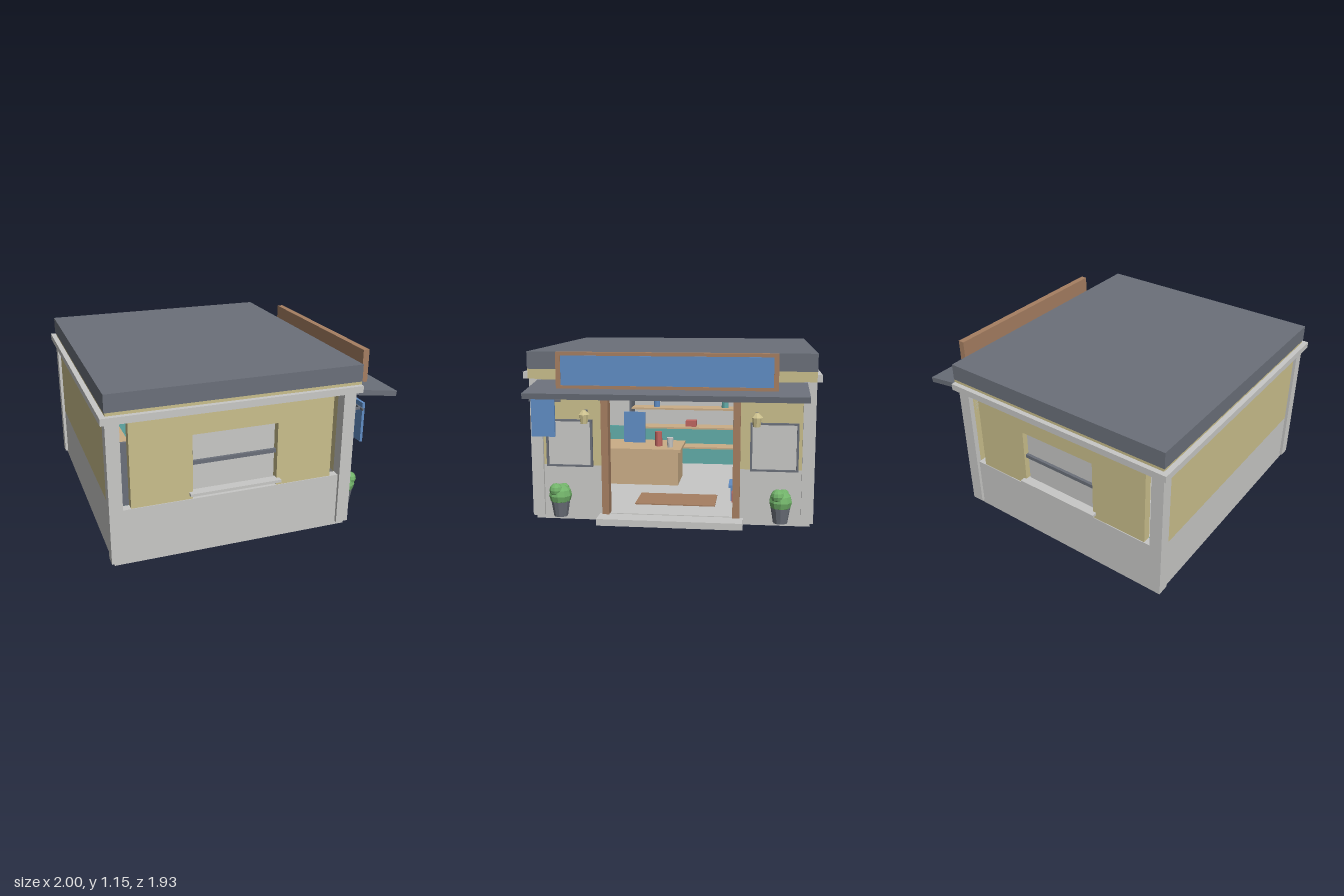
import * as THREE from 'three';

const COLORS = {
  stone: 0xc8c8c6, plaster: 0xcabf8c, slate: 0x6b707a, brownWood: 0xa67f62, paleWood: 0xcbae87,
  blue: 0x608dc5, teal: 0x62aca8, leaf: 0x72b36a, red: 0xbf6560,
};

export function createModel() {
  const model = new THREE.Group();
  model.name = 'shop';
  const mats = {};
  for (const [name, color] of Object.entries(COLORS)) {
    mats[name] = new THREE.MeshStandardMaterial({ color });
    mats[name].name = name;
  }

  const add = (name, geo, mat, parent = model) => {
    const mesh = new THREE.Mesh(geo, mats[mat]);
    mesh.name = name;
    parent.add(mesh);
    return mesh;
  };
  // Box given by its min and max on each axis
  const box = (name, mat, x0, x1, y0, y1, z0, z1, parent = model) => {
    const m = add(name, new THREE.BoxGeometry(x1 - x0, y1 - y0, z1 - z0), mat, parent);
    m.position.set((x0 + x1) / 2, (y0 + y1) / 2, (z0 + z1) / 2);
    return m;
  };
  // Same box on +z and -z
  const pair = (name, mat, x0, x1, y0, y1, z0, z1) => {
    box(name, mat, x0, x1, y0, y1, z0, z1);
    box(name, mat, x0, x1, y0, y1, -z1, -z0);
  };
  const faceted = (geo) => {
    const g = geo.toNonIndexed();
    g.computeVertexNormals();
    return g;
  };
  const cyl = (name, mat, rTop, rBottom, y0, y1, x, z, parent = model, sides = 12) => {
    const m = add(name, faceted(new THREE.CylinderGeometry(rTop, rBottom, y1 - y0, sides)), mat, parent);
    m.position.set(x, (y0 + y1) / 2, z);
    return m;
  };

  // Floor and door step
  box('floor', 'stone', -0.95, 0.64, 0, 0.05, -0.915, 0.915);
  box('doorStep', 'stone', 0.62, 0.77, 0, 0.045, -0.48, 0.48);

  // Corner pillars
  for (const x of [-0.97, 0.575]) pair('pillar', 'stone', x, x + 0.085, 0.025, 0.96, 0.855, 0.935);

  // Back wall
  box('backWallBase', 'stone', -0.95, -0.89, 0.05, 0.375, -0.9, 0.9);
  box('backWallUpper', 'plaster', -0.95, -0.89, 0.375, 0.96, -0.9, 0.9);
  box('backLining', 'stone', -0.89, -0.882, 0.375, 0.96, -0.85, 0.85);
  box('backWainscot', 'teal', -0.89, -0.875, 0.05, 0.375, -0.85, 0.85);

  // Side walls with window openings
  pair('sideWallBase', 'stone', -0.9, 0.6, 0.03, 0.375, 0.86, 0.915);
  pair('sideWainscot', 'teal', -0.87, 0.57, 0.05, 0.37, 0.85, 0.86);
  pair('sideWallPier', 'plaster', -0.83, -0.435, 0.375, 0.97, 0.855, 0.91);
  pair('sideWallPier', 'plaster', 0.13, 0.515, 0.375, 0.97, 0.855, 0.91);
  pair('sideWallHeader', 'plaster', -0.435, 0.13, 0.805, 0.97, 0.855, 0.91);
  pair('sideWindowPane', 'stone', -0.425, 0.12, 0.41, 0.805, 0.868, 0.88);
  pair('sideWindowBar', 'slate', -0.43, 0.125, 0.6, 0.625, 0.865, 0.9);
  pair('sideWindowSill', 'stone', -0.46, 0.15, 0.405, 0.423, 0.87, 0.945);

  // Shop front wall around the doorway
  pair('frontWallBase', 'stone', 0.575, 0.64, 0.03, 0.375, 0.455, 0.9);
  pair('frontWallUpper', 'plaster', 0.575, 0.64, 0.375, 0.96, 0.455, 0.9);
  box('frontWallHeader', 'plaster', 0.575, 0.64, 0.87, 0.96, -0.455, 0.455);
  pair('doorPost', 'brownWood', 0.6, 0.675, 0.05, 0.857, 0.41, 0.457);
  box('doorLintel', 'brownWood', 0.59, 0.68, 0.855, 0.87, -0.48, 0.48);

  // Front windows
  pair('frontWindowPane', 'stone', 0.64, 0.648, 0.375, 0.675, 0.53, 0.825);
  for (const z of [0.52, 0.818]) pair('frontWindowSide', 'slate', 0.64, 0.66, 0.37, 0.685, z, z + 0.014);
  for (const y of [0.367, 0.673]) pair('frontWindowRail', 'slate', 0.64, 0.66, y, y + 0.012, 0.52, 0.832);

  // Cornice and flat roof
  pair('sideCornice', 'stone', -1, 0.69, 0.957, 1.002, 0.9, 0.965);
  box('backCornice', 'stone', -1, -0.93, 0.957, 1.002, -0.9, 0.9);
  box('ceiling', 'plaster', -0.965, 0.694, 0.957, 1.022, -0.933, 0.933);
  box('roof', 'slate', -0.97, 0.695, 1.022, 1.135, -0.935, 0.935);

  // Sloping canopy with a lamp strip below
  const canopy = new THREE.Group();
  canopy.name = 'canopy';
  canopy.position.set(0.828, 0.908, 0);
  canopy.rotation.z = -0.14;
  model.add(canopy);
  box('canopySlab', 'slate', -0.173, 0.173, -0.018, 0.018, -0.875, 0.875, canopy);
  box('canopyLampStrip', 'paleWood', -0.03, 0.055, -0.024, -0.018, -0.6, 0.6, canopy);

  // Sign board standing on the canopy
  box('signBoard', 'brownWood', 0.84, 0.872, 0.91, 1.147, -0.69, 0.69);
  box('signFace', 'blue', 0.872, 0.88, 0.937, 1.125, -0.66, 0.66);
  pair('signFrameSide', 'brownWood', 0.872, 0.884, 0.92, 1.147, 0.66, 0.69);
  for (const y of [0.92, 1.127]) box('signFrameRail', 'brownWood', 0.872, 0.884, y, y + 0.02, -0.66, 0.66);

  // Hanging blue sign
  box('hangingSign', 'blue', 0.732, 0.75, 0.585, 0.858, 0.745, 0.9);
  box('hangingSignBar', 'slate', 0.722, 0.732, 0.812, 0.826, 0.71, 0.918);
  box('hangingSignArm', 'slate', 0.65, 0.73, 0.812, 0.826, 0.875, 0.89);

  // Wall lanterns and potted plants on both sides of the door
  for (const s of [1, -1]) {
    const lamp = new THREE.Group();
    lamp.name = 'lantern';
    model.add(lamp);
    box('lanternArm', 'slate', 0.64, 0.71, 0.738, 0.75, s * 0.56 - 0.01, s * 0.56 + 0.01, lamp);
    cyl('lanternBody', 'plaster', 0.03, 0.024, 0.67, 0.73, 0.708, s * 0.56, lamp, 8);
    cyl('lanternCap', 'plaster', 0.012, 0.04, 0.73, 0.758, 0.708, s * 0.56, lamp, 8);

    const plant = new THREE.Group();
    plant.name = 'pottedPlant';
    plant.position.set(0.742, 0, s * 0.72);
    model.add(plant);
    cyl('pot', 'slate', 0.065, 0.046, 0.055, 0.17, 0, 0, plant);
    for (const [r, x, y, z] of [[0.075, 0, 0.195, 0], [0.044, 0.033, 0.237, 0.02], [0.035, -0.02, 0.235, -0.02]]) {
      const ball = add('foliage', faceted(new THREE.SphereGeometry(r, 10, 6)), 'leaf', plant);
      ball.position.set(x, y, z);
    }
  }

  // Service counter with goods
  box('counter', 'paleWood', -0.45, -0.12, 0.05, 0.312, 0.04, 0.7);
  box('counterTop', 'paleWood', -0.47, -0.1, 0.312, 0.335, 0.018, 0.72);
  box('counterScreen', 'blue', -0.37, -0.35, 0.335, 0.58, 0.33, 0.5);
  cyl('redTin', 'red', 0.028, 0.028, 0.335, 0.447, -0.24, 0.205);
  cyl('cup', 'stone', 0.026, 0.022, 0.335, 0.41, -0.2, 0.11);

  // Shelf unit on the back wall
  pair('shelfSide', 'slate', -0.855, -0.7, 0.05, 0.64, 0.5, 0.52);
  for (const y of [0.218, 0.386, 0.548]) box('shelf', 'paleWood', -0.855, -0.7, y, y + 0.014, -0.5, 0.5);
  cyl('blueTin', 'blue', 0.026, 0.026, 0.562, 0.62, -0.78, 0.295);
  cyl('tealTin', 'teal', 0.029, 0.029, 0.562, 0.64, -0.78, -0.285);
  cyl('greyTin', 'stone', 0.026, 0.026, 0.4, 0.46, -0.78, -0.38);
  box('redBox', 'red', -0.82, -0.74, 0.4, 0.448, -0.043, 0.046);

  // Low bench, red stool and door mat
  box('benchTop', 'blue', 0.08, 0.27, 0.148, 0.164, -0.62, -0.365);
  for (const x of [0.09, 0.24]) for (const z of [-0.61, -0.4]) box('benchLeg', 'blue', x, x + 0.02, 0.05, 0.148, z, z + 0.02);
  box('redStool', 'red', 0.27, 0.34, 0.06, 0.128, -0.46, -0.39);
  box('doorMat', 'brownWood', 0.14, 0.42, 0.05, 0.058, -0.28, 0.28);

  return model;
}
